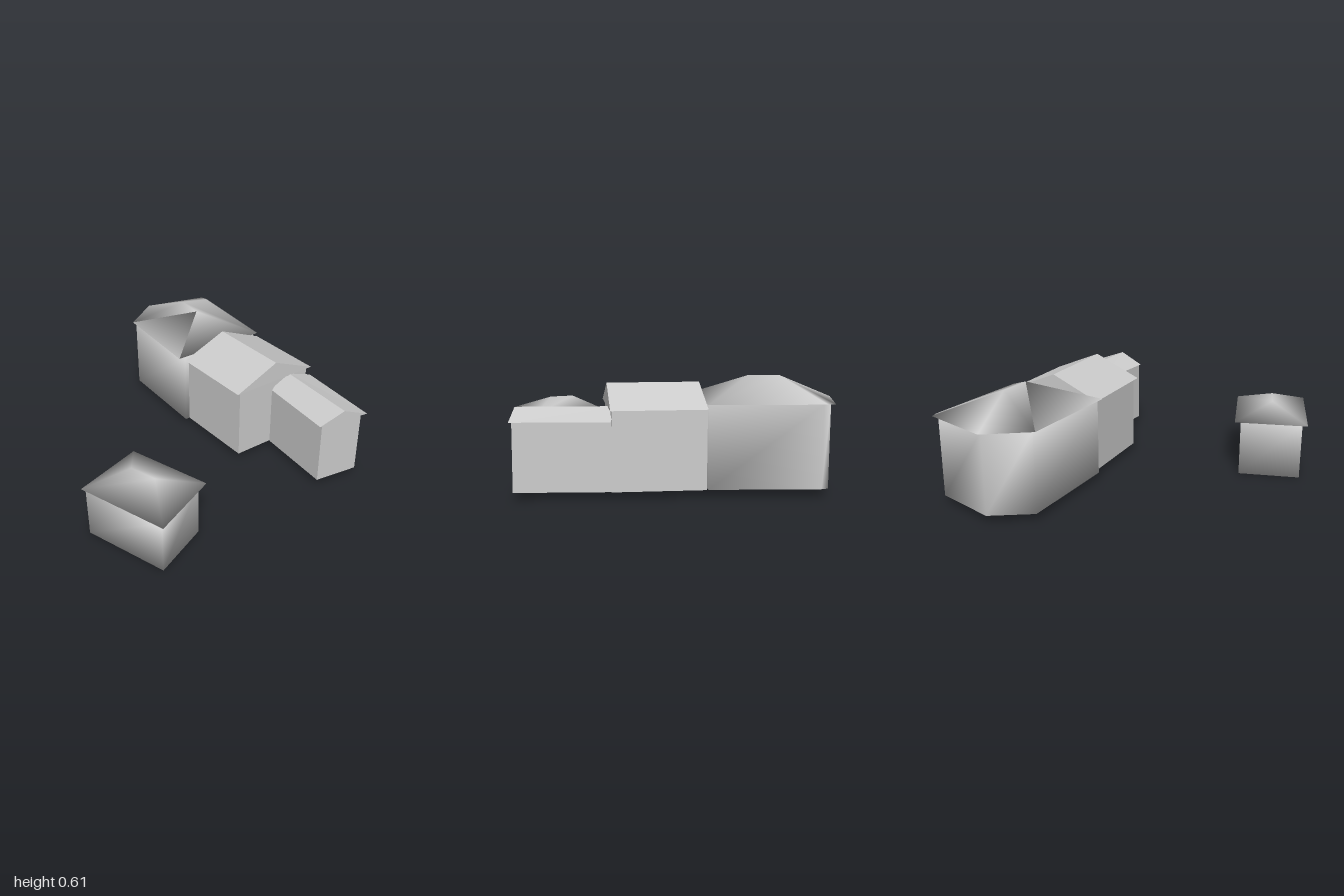
import * as THREE from 'three';

// Indexed closed solid; normals are smoothed over shared corners unless flat
function solid(name, points, index, flat) {
  const geo = new THREE.BufferGeometry();
  geo.setAttribute('position', new THREE.Float32BufferAttribute(points.flat(), 3));
  geo.setIndex(index);
  geo.computeVertexNormals();
  const mesh = new THREE.Mesh(geo, new THREE.MeshStandardMaterial({
    color: 0xcccccc, flatShading: flat, side: THREE.DoubleSide }));
  mesh.name = name;
  return mesh;
}

// Prism over an [x, z] outline, clockwise as seen from above
function walls(name, plan, y0, y1, flat) {
  const n = plan.length, index = [];
  const points = [...plan.map(([x, z]) => [x, y0, z]), ...plan.map(([x, z]) => [x, y1, z])];
  for (let i = 0; i < n; i++) {
    const j = (i + 1) % n;
    index.push(j, i, n + i, j, n + i, n + j);
    if (i > 0 && i < n - 1) index.push(0, i, i + 1, n, n + i + 1, n + i);
  }
  return solid(name, points, index, flat);
}

// Roof from an eave outline to a ridge; ends[i] is the ridge end that corner i rises to
function roof(name, eave, yEave, ridge, yRidge, ends, flat) {
  const n = eave.length, index = [];
  const points = [...eave.map(([x, z]) => [x, yEave, z]), ...ridge.map(([x, z]) => [x, yRidge, z])];
  for (let i = 0; i < n; i++) {
    const j = (i + 1) % n, a = n + ends[i], b = n + ends[j];
    index.push(j, i, a);
    if (a !== b) index.push(j, a, b);
    if (i > 0 && i < n - 1) index.push(0, i, i + 1);
  }
  return solid(name, points, index, flat);
}

function building(name, p) {
  const group = new THREE.Group();
  group.name = name;
  group.add(
    walls(name + 'Walls', p.plan, p.base, p.eaveHeight, p.flat),
    roof(name + 'Roof', p.eave, p.eaveHeight, p.ridge, p.ridgeHeight, p.ends, p.flat));
  return group;
}

export function createModel() {
  const model = new THREE.Group();
  model.name = 'houseWithShed';
  model.add(
    // Tall hipped block with a bevelled far end
    building('mainBlock', {
      base: 0.04, eaveHeight: 0.48, ridgeHeight: 0.605, flat: false,
      plan: [[-0.61, -0.97], [-0.57, -0.965], [-0.06, -0.685], [-0.27, -0.2], [-0.795, -0.455], [-0.83, -0.7]],
      eave: [[-0.615, -1], [-0.57, -0.99], [-0.04, -0.705], [-0.29, -0.17], [-0.81, -0.44], [-0.86, -0.705]],
      ridge: [[-0.55, -0.64], [-0.4, -0.56]], ends: [0, 0, 1, 1, 0, 0],
    }),
    // Gabled middle block
    building('middleBlock', {
      base: 0.04, eaveHeight: 0.457, ridgeHeight: 0.573, flat: true,
      plan: [[-0.05, -0.685], [0.395, -0.485], [0.19, -0.035], [-0.26, -0.225]],
      eave: [[-0.04, -0.705], [0.415, -0.51], [0.19, -0.01], [-0.27, -0.205]],
      ridge: [[-0.155, -0.455], [0.3, -0.26]], ends: [0, 1, 1, 0],
    }),
    // Low gabled wing
    building('sideWing', {
      base: 0.04, eaveHeight: 0.402, ridgeHeight: 0.462, flat: true,
      plan: [[0.39, -0.48], [0.83, -0.245], [0.69, -0.03], [0.29, -0.245]],
      eave: [[0.415, -0.51], [0.857, -0.27], [0.685, -0.018], [0.295, -0.235]],
      ridge: [[0.3, -0.385], [0.77, -0.143]], ends: [0, 1, 1, 0],
    }),
    // Detached hipped shed
    building('shed', {
      base: 0, eaveHeight: 0.307, ridgeHeight: 0.39, flat: false,
      plan: [[-0.14, 0.585], [0.305, 0.63], [0.3, 0.965], [-0.182, 0.92]],
      eave: [[-0.14, 0.552], [0.335, 0.6], [0.33, 0.997], [-0.185, 0.95]],
      ridge: [[0, 0.77], [0.15, 0.785]], ends: [0, 1, 1, 0],
    }));
  return model;
}
